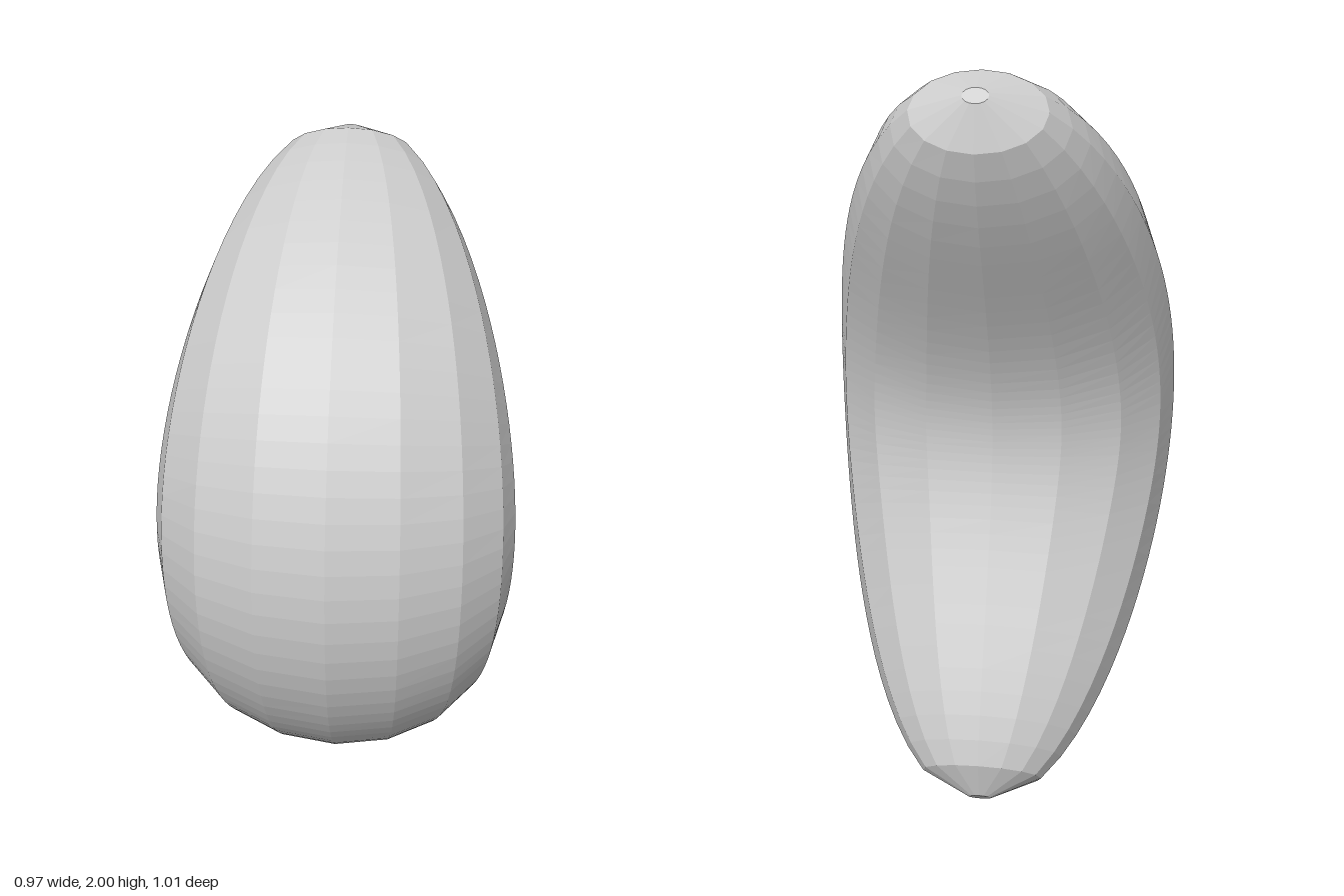
import * as THREE from 'three';

const SIDES = 16, STEPS = 44;
const HALF_HEIGHT = 0.96, BEND = 0.64, TIP_Z = -0.473;
const HALF_WIDTH = 0.487, HALF_DEPTH = 0.34;

// Elliptical cross-sections swept along a cosine-shaped spine, u from -1 (bottom) to 1 (top)
function beanGeometry() {
  const positions = [], index = [];
  const spine = (u) => [1 + HALF_HEIGHT * u, TIP_Z + BEND * Math.cos(u * Math.PI / 2)];

  for (let i = 0; i <= STEPS; i++) {
    const u = -1 + 2 * i / STEPS;
    const [y, z] = spine(u);
    const slope = -BEND * Math.PI / 2 * Math.sin(u * Math.PI / 2);
    const length = Math.hypot(HALF_HEIGHT, slope);
    const ny = -slope / length, nz = HALF_HEIGHT / length;
    // Rounded taper, ending in a tiny ring at each tip
    const taper = i === 0 || i === STEPS ? 0.065 : Math.sqrt(1 - (0.985 * u) ** 2);
    for (let j = 0; j < SIDES; j++) {
      const a = j / SIDES * Math.PI * 2;
      const d = HALF_DEPTH * taper * Math.cos(a);
      positions.push(HALF_WIDTH * taper * Math.sin(a), y + d * ny, z + d * nz);
    }
  }

  // Skin between neighbouring rings
  for (let i = 0; i < STEPS; i++) {
    for (let j = 0; j < SIDES; j++) {
      const k = (j + 1) % SIDES;
      const a = i * SIDES + j, b = i * SIDES + k;
      index.push(a, b, b + SIDES, a, b + SIDES, a + SIDES);
    }
  }

  // Close both tips
  const bottom = positions.length / 3, top = bottom + 1, last = STEPS * SIDES;
  for (const u of [-1, 1]) positions.push(0, ...spine(u));
  for (let j = 0; j < SIDES; j++) {
    const k = (j + 1) % SIDES;
    index.push(bottom, k, j, top, last + j, last + k);
  }

  const geometry = new THREE.BufferGeometry();
  geometry.setAttribute('position', new THREE.Float32BufferAttribute(positions, 3));
  geometry.setIndex(index);
  const flat = geometry.toNonIndexed();
  flat.computeVertexNormals();
  return flat;
}

export function createModel() {
  const model = new THREE.Group();
  model.name = 'curvedBean';
  const material = new THREE.MeshStandardMaterial({ color: 0xcccccc, flatShading: true });
  const body = new THREE.Mesh(beanGeometry(), material);
  body.name = 'beanBody';
  model.add(body);
  return model;
}
